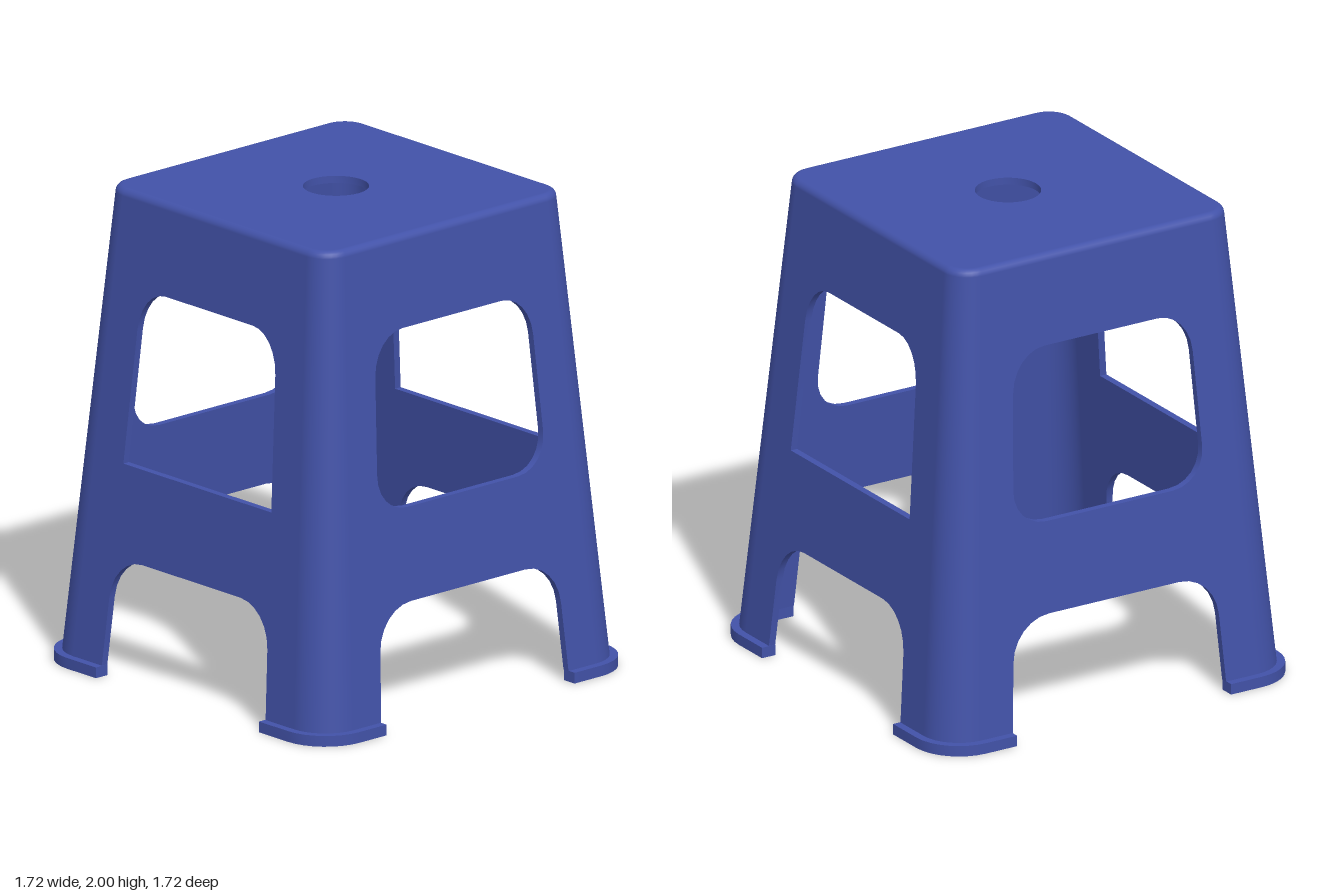
import * as THREE from 'three';
import { toCreasedNormals } from 'three/addons/utils/BufferGeometryUtils.js';

const material = new THREE.MeshStandardMaterial({ color: 0x4252a8 });
const T = 0.03;      // wall thickness
const Y0 = 0.045;    // top of the foot rims
const Y1 = 1.97;     // where the seat edge starts to round over
const SEG = 8;       // segments per rounded corner
const RIM = 0.03;    // seat edge radius

// Tapering plan of the stool: half width, straight half length, corner radius
const halfWidth = (y) => 0.83 - 0.0875 * y;
const straight = (y) => 0.66 - 0.0575 * y;
const radius = (y) => halfWidth(y) - straight(y);

function addMesh(parent, name, geometry) {
  const mesh = new THREE.Mesh(geometry, material);
  mesh.name = name;
  parent.add(mesh);
  return mesh;
}

// Surface from a function (i, j) -> { p, n }, wound to agree with its normals
function grid(rows, cols, fn) {
  const pos = [], nor = [], index = [], P = [], N = [];
  for (let i = 0; i <= rows; i++) for (let j = 0; j <= cols; j++) {
    const { p, n } = fn(i, j);
    n.normalize();
    P.push(p); N.push(n);
    pos.push(p.x, p.y, p.z);
    nor.push(n.x, n.y, n.z);
  }
  const quadTri = (a, b, c) => {
    const face = P[b].clone().sub(P[a]).cross(P[c].clone().sub(P[a]));
    if (face.dot(N[a]) >= 0) index.push(a, b, c);
    else index.push(a, c, b);
  };
  for (let i = 0; i < rows; i++) for (let j = 0; j < cols; j++) {
    const a = i * (cols + 1) + j, b = a + cols + 1;
    quadTri(a, b, a + 1);
    quadTri(b, b + 1, a + 1);
  }
  const g = new THREE.BufferGeometry();
  g.setAttribute('position', new THREE.Float32BufferAttribute(pos, 3));
  g.setAttribute('normal', new THREE.Float32BufferAttribute(nor, 3));
  g.setIndex(index);
  return g;
}

// Directions around the four rounded corners, with each corner's signs
const around = [];
for (let k = 0; k < 4; k++) for (let j = 0; j <= SEG; j++) {
  const a = (k + j / SEG) * Math.PI / 2, m = (k + 0.5) * Math.PI / 2;
  around.push({ dx: Math.cos(a), dz: Math.sin(a), sx: Math.sign(Math.cos(m)), sz: Math.sign(Math.sin(m)) });
}
around.push(around[0]);

// Rounded turn of a cut-out from a to b around corner c
function turn(path, a, c, b, k = 0.56) {
  path.lineTo(a[0], a[1]);
  path.bezierCurveTo(a[0] + (c[0] - a[0]) * k, a[1] + (c[1] - a[1]) * k,
    b[0] + (c[0] - b[0]) * k, b[1] + (c[1] - b[1]) * k, b[0], b[1]);
}

// Flat side wall with leg arch and window, sheared to lean inwards
function sidePanel({ legX, archX, archFlat, winX, winFlat, baseX, roundBase }) {
  const s = new THREE.Shape();
  const b = straight(Y0), t = straight(Y1);
  s.moveTo(-b, Y0);
  s.lineTo(-legX, Y0);
  turn(s, [-archX, 0.33], [-archX + 0.01, 0.505], [-archFlat, 0.505]);
  turn(s, [archFlat, 0.505], [archX - 0.01, 0.505], [archX, 0.33]);
  s.lineTo(legX, Y0);
  s.lineTo(b, Y0);
  s.lineTo(t, Y1);
  s.lineTo(-t, Y1);
  s.closePath();

  const w = new THREE.Path();
  w.moveTo(0, 1.62);
  turn(w, [winFlat, 1.62], [winX - 0.01, 1.62], [winX, 1.45]);
  if (roundBase) {
    turn(w, [baseX, 1.05], [baseX + 0.01, 0.89], [0.3, 0.89]);
    turn(w, [-0.3, 0.89], [-baseX - 0.01, 0.89], [-baseX, 1.05]);
  } else {
    w.lineTo(baseX, 0.89);
    w.lineTo(-baseX, 0.89);
  }
  turn(w, [-winX, 1.45], [-winX + 0.01, 1.62], [-winFlat, 1.62]);
  w.closePath();
  s.holes.push(w);

  let g = new THREE.ExtrudeGeometry(s, { depth: T, bevelEnabled: false, curveSegments: 6 });
  if (g.index) g = g.toNonIndexed();
  const p = g.attributes.position, kept = [];
  const near = (a, c) => Math.abs(a - c) < 1e-4;
  for (let i = 0; i < p.count; i += 3) {
    const v = [i, i + 1, i + 2];
    // Leave out the hidden faces along the seams
    const seam = [-1, 1].some((q) => v.every((m) => near(p.getX(m), q * straight(p.getY(m)))))
      || [Y0, Y1].some((y) => v.every((m) => near(p.getY(m), y)));
    if (seam) continue;
    for (const m of v) {
      const y = p.getY(m);
      kept.push(p.getX(m), y, halfWidth(y) - T + p.getZ(m));
    }
  }
  const out = new THREE.BufferGeometry();
  out.setAttribute('position', new THREE.Float32BufferAttribute(kept, 3));
  return toCreasedNormals(out, 0.6);
}

// Conical corner wall, outer (side = 1) or inner (side = -1) skin
function cornerSkin(k, side) {
  return grid(1, SEG, (i, j) => {
    const y = i ? Y1 : Y0, d = around[k * (SEG + 1) + j];
    const c = straight(y), r = radius(y) - (side < 0 ? T : 0);
    const slope = 0.0575 * (Math.abs(d.dx) + Math.abs(d.dz)) + 0.03;
    return {
      p: new THREE.Vector3(d.sx * c + d.dx * r, y, d.sz * c + d.dz * r),
      n: new THREE.Vector3(d.dx, slope, d.dz).multiplyScalar(side),
    };
  });
}

// L-shaped rim under one leg
function footRim(sx, sz) {
  const c = straight(Y0), ro = 0.86 - c, ri = halfWidth(Y0) - T - c;
  const pts = [[0.51, c + ri], [0.51, c + ro]];
  for (let j = 0; j <= SEG; j++) {
    const a = (1 - j / SEG) * Math.PI / 2;
    pts.push([c + ro * Math.cos(a), c + ro * Math.sin(a)]);
  }
  pts.push([c + ro, 0.485], [c + ri, 0.485]);
  for (let j = 0; j <= SEG; j++) {
    const a = j / SEG * Math.PI / 2;
    pts.push([c + ri * Math.cos(a), c + ri * Math.sin(a)]);
  }
  const shape = new THREE.Shape(pts.map(([x, z]) => new THREE.Vector2(x * sx, -z * sz)));
  const g = new THREE.ExtrudeGeometry(shape, { depth: Y0, bevelEnabled: false });
  g.rotateX(-Math.PI / 2);
  return toCreasedNormals(g, 0.6);
}

export function createModel() {
  const stool = new THREE.Group();
  stool.name = 'stool';

  // Side walls: rounded windows front and back, square-based ones left and right
  const wide = sidePanel({ legX: 0.508, archX: 0.49, archFlat: 0.31, winX: 0.428, winFlat: 0.27, baseX: 0.45, roundBase: true });
  const narrow = sidePanel({ legX: 0.487, archX: 0.47, archFlat: 0.29, winX: 0.41, winFlat: 0.26, baseX: 0.44, roundBase: false });
  ['frontPanel', 'leftPanel', 'backPanel', 'rightPanel'].forEach((name, k) => {
    addMesh(stool, name, k % 2 ? narrow : wide).rotation.y = k * Math.PI / 2;
  });

  // Corner legs with their foot rims
  ['frontLeftLeg', 'frontRightLeg', 'backRightLeg', 'backLeftLeg'].forEach((name, k) => {
    const leg = new THREE.Group();
    leg.name = name;
    addMesh(leg, 'outerCorner', cornerSkin(k, 1));
    addMesh(leg, 'innerCorner', cornerSkin(k, -1));
    const { sx, sz } = around[k * (SEG + 1)];
    addMesh(leg, 'footRim', footRim(sx, sz));
    stool.add(leg);
  });

  // Rounded seat edge
  const c = straight(Y1), r = radius(Y1) - RIM;
  addMesh(stool, 'seatEdge', grid(5, around.length - 1, (i, j) => {
    const d = around[j], t = i / 5 * Math.PI / 2, q = r + RIM * Math.cos(t);
    return {
      p: new THREE.Vector3(d.sx * c + d.dx * q, Y1 + RIM * Math.sin(t), d.sz * c + d.dz * q),
      n: new THREE.Vector3(d.dx * Math.cos(t), Math.sin(t) + 0.087 * Math.cos(t), d.dz * Math.cos(t)),
    };
  }));

  // Seat plate with the finger hole
  const plate = new THREE.Shape(around.slice(0, -1).map((d) => new THREE.Vector2(d.sx * c + d.dx * r, d.sz * c + d.dz * r)));
  const hole = new THREE.Path();
  hole.absarc(0, 0, 0.133, 0, Math.PI * 2, true);
  plate.holes.push(hole);
  const seat = new THREE.ExtrudeGeometry(plate, { depth: RIM, bevelEnabled: false, curveSegments: 20 });
  seat.rotateX(-Math.PI / 2);
  seat.translate(0, Y1, 0);
  addMesh(stool, 'seat', toCreasedNormals(seat, 0.6));

  return stool;
}
